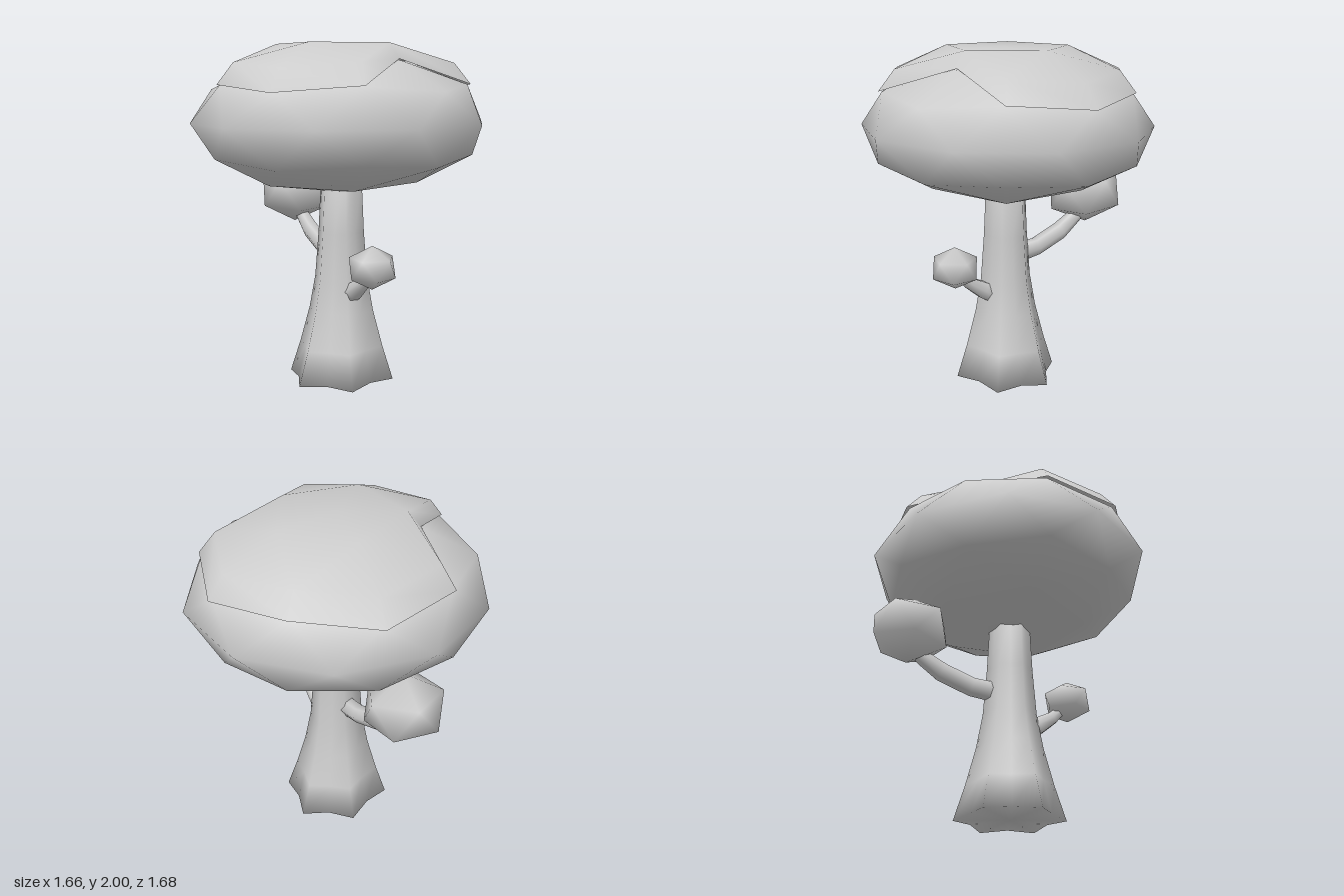
import * as THREE from 'three';
import { mergeVertices } from 'three/addons/utils/BufferGeometryUtils.js';

const clay = new THREE.MeshStandardMaterial({ color: 0xcccccc });
clay.name = 'pale grey';
const clayOpen = new THREE.MeshStandardMaterial({ color: 0xcccccc, side: THREE.DoubleSide });
clayOpen.name = 'pale grey';

// Low-poly ball with a vertex at each pole and smooth normals
function ball(detail, rx, ry, rz) {
  let g = new THREE.IcosahedronGeometry(1, detail);
  g.deleteAttribute('normal');
  g.deleteAttribute('uv');
  g = mergeVertices(g, 1e-4);
  g.rotateZ(-Math.atan(2 / (1 + Math.sqrt(5))));
  g.scale(rx, ry, rz);
  g.computeVertexNormals();
  return g;
}

function indexed(points, faces) {
  const g = new THREE.BufferGeometry();
  g.setAttribute('position', new THREE.Float32BufferAttribute(points.flat(), 3));
  g.setIndex(faces.flat());
  g.computeVertexNormals();
  return g;
}

// Skin over equal rings of points, closed at both ends
function loft(rings) {
  const n = rings[0].length, points = rings.flat(), faces = [];
  for (let r = 0; r < rings.length - 1; r++) {
    for (let i = 0; i < n; i++) {
      const a = r * n + i, b = r * n + (i + 1) % n;
      faces.push([a, a + n, b], [b, a + n, b + n]);
    }
  }
  [0, rings.length - 1].forEach((r) => {
    const c = points.length;
    points.push([0, 1, 2].map((k) => rings[r].reduce((s, p) => s + p[k], 0) / n));
    for (let i = 0; i < n; i++) {
      const a = r * n + i, b = r * n + (i + 1) % n;
      faces.push(r === 0 ? [c, a, b] : [c, b, a]);
    }
  });
  return indexed(points, faces);
}

// Six-sided trunk flaring into fluted roots: [height, radius, flute factor]
function trunkGeometry() {
  const profile = [[0.01, 0.335, 0.8], [0.2, 0.268, 0.83], [0.42, 0.206, 0.866],
    [0.62, 0.168, 0.866], [0.9, 0.145, 0.866], [1.25, 0.128, 0.866]];
  return loft(profile.map(([y, r, flute], row) => Array.from({ length: 12 }, (_, i) => {
    const a = Math.PI / 4 + i * Math.PI / 6, q = i % 2 ? r * flute : r;
    const lift = row === 0 && i % 2 === 0 ? -0.01 : 0;
    return [q * Math.cos(a), y + lift, q * Math.sin(a) * 0.93 + 0.01];
  })));
}

// Bent branch in the x = 0 plane: [y, z, radius]
function branchGeometry(path) {
  const sides = 6;
  const rings = path.map(([y, z, r], i) => {
    const p = path[Math.max(0, i - 1)], q = path[Math.min(path.length - 1, i + 1)];
    const len = Math.hypot(q[0] - p[0], q[1] - p[1]);
    const ty = (q[0] - p[0]) / len, tz = (q[1] - p[1]) / len;
    return Array.from({ length: sides }, (_, s) => {
      const a = s * 2 * Math.PI / sides, c = r * Math.cos(a), d = r * Math.sin(a);
      return [c, y - tz * d, z + ty * d];
    });
  });
  return loft(rings);
}

// Notched cap: faceted top shell plus a sloping rim down to the canopy
function capGeometry() {
  const points = [[0, 2, 0]], faces = [];
  const add = (r, y, deg) => {
    const a = deg * Math.PI / 180;
    return points.push([r * Math.cos(a), y, r * Math.sin(a) * 0.965]) - 1;
  };
  const ks = [0, 1, 2, 3, 4];
  const inner = ks.map((k) => add(0.38, 2, 72 * k));
  const outer = ks.map((k) => add(0.71, 1.86, 72 * k));
  const middle = ks.map((k) => add(0.665, 1.89, 72 * k + 36));
  const notched = [1, 3];
  const edge = [];
  for (const k of ks) {
    const n = (k + 1) % 5, prev = (k + 4) % 5;
    faces.push([0, inner[n], inner[k]], [inner[k], inner[n], middle[k]]);
    if (notched.includes(k)) {
      edge.push([inner[k], add(0.455, 1.91, 72 * k)]);
    } else {
      faces.push([inner[k], middle[k], outer[k]], [inner[k], outer[k], middle[prev]]);
      edge.push([outer[k], add(0.805, 1.735, 72 * k)]);
    }
    edge.push([middle[k], add(0.762, 1.77, 72 * k + 36)]);
  }
  edge.forEach(([a, b], i) => {
    const [c, d] = edge[(i + 1) % edge.length];
    faces.push([a, c, b], [b, c, d]);
  });
  // the notched outer corners stay unused
  return indexed(points, faces);
}

export function createModel() {
  const model = new THREE.Group();
  model.name = 'tree';
  const add = (name, geometry, x = 0, y = 0, z = 0, material = clay) => {
    const mesh = new THREE.Mesh(geometry, material);
    mesh.name = name;
    mesh.position.set(x, y, z);
    model.add(mesh);
    return mesh;
  };

  add('trunk', trunkGeometry());
  add('canopy', ball(1, 0.875, 0.415, 0.84), 0, 1.55, 0);
  add('canopyCap', capGeometry(), 0, 0, 0, clayOpen);

  // Small branch and leaf ball at the front
  add('frontBranch', branchGeometry([[0.52, 0.08, 0.065], [0.57, 0.18, 0.055],
    [0.63, 0.27, 0.04], [0.72, 0.36, 0.03]]));
  add('frontLeafBall', ball(0, 0.15, 0.127, 0.147), 0.005, 0.745, 0.37);

  // Larger branch and leaf ball at the back
  add('backBranch', branchGeometry([[0.75, -0.05, 0.06], [0.77, -0.22, 0.055],
    [0.84, -0.4, 0.055], [0.92, -0.52, 0.045], [1.02, -0.62, 0.035]]));
  const back = add('backLeafBall', ball(0, 0.245, 0.207, 0.25), -0.01, 1.075, -0.6);
  back.rotation.x = 0.08;

  return model;
}
